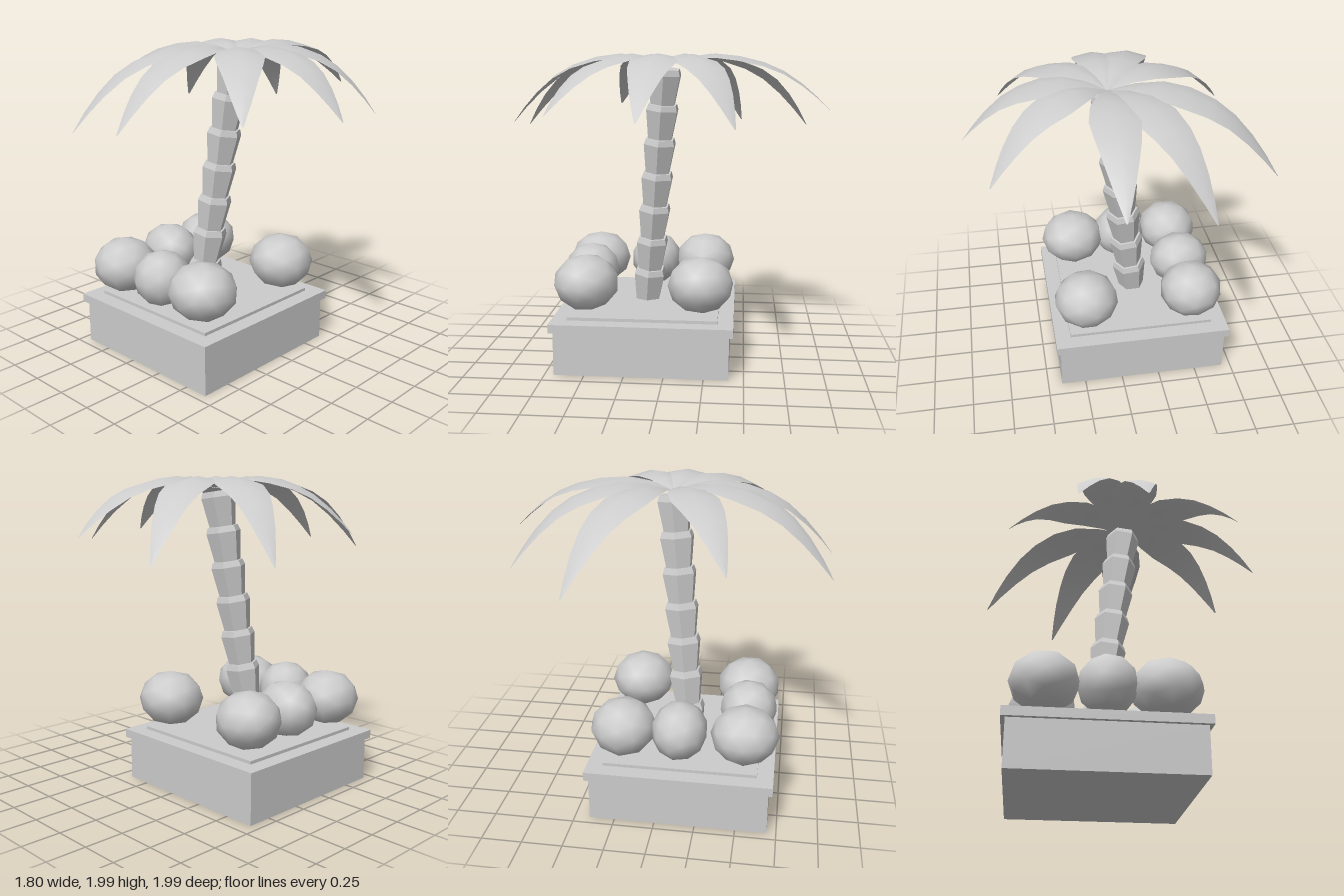
import * as THREE from 'three';

const grey = new THREE.MeshStandardMaterial({ color: 0xcccccc });
grey.name = 'grey';
const facetedGrey = grey.clone();
facetedGrey.flatShading = true;
const leafGrey = grey.clone();
leafGrey.side = THREE.DoubleSide;

function add(parent, name, geometry, material) {
  const mesh = new THREE.Mesh(geometry, material);
  mesh.name = name;
  parent.add(mesh);
  return mesh;
}

// Leaf stations: distance along, half width, height over the crown, share of the tip's drop
const STATIONS = [
  [0, 0.02, -0.07, 0], [0.15, 0.07, -0.02, 0], [0.3, 0.125, 0, 0], [0.45, 0.145, 0, 0.045],
  [0.6, 0.125, 0, 0.155], [0.72, 0.098, 0, 0.31], [0.83, 0.068, 0, 0.53], [0.92, 0.037, 0, 0.76], [1, 0.004, 0, 1],
];

// Arched leaf from the crown to a tip, three points across, edges drooping
function leafGeometry(crown, tip) {
  const dx = tip[0] - crown.x, dz = tip[2] - crown.z, length = Math.hypot(dx, dz);
  const positions = [], index = [];
  STATIONS.forEach(([t, half, lift, drop], i) => {
    const y = crown.y + lift - drop * (crown.y - tip[1]);
    for (const side of [-1, 0, 1]) {
      positions.push(
        crown.x + dx * t - (dz / length) * half * side,
        y - Math.abs(side) * half * 0.2,
        crown.z + dz * t + (dx / length) * half * side,
      );
    }
    if (i === 0) return;
    for (const k of [0, 1]) {
      const a = (i - 1) * 3 + k, b = a + 3;
      index.push(a, a + 1, b, a + 1, b + 1, b);
    }
  });
  const geometry = new THREE.BufferGeometry();
  geometry.setAttribute('position', new THREE.Float32BufferAttribute(positions, 3));
  geometry.setIndex(index);
  geometry.computeVertexNormals();
  return geometry;
}

export function createModel() {
  const model = new THREE.Group();
  model.name = 'palmInPlanter';

  // Square planter: body, rim and soil slab
  const planter = new THREE.Group();
  planter.name = 'planter';
  model.add(planter);
  for (const [name, size, bottom, top] of [
    ['planterBody', 1.1, 0, 0.28], ['planterRim', 1.15, 0.28, 0.335], ['soil', 0.95, 0.335, 0.355],
  ]) {
    add(planter, name, new THREE.BoxGeometry(size, top - bottom, size), facetedGrey)
      .position.set(-0.142, (bottom + top) / 2, 0.143);
  }

  // Leaning trunk of six-sided flared segments
  const trunk = new THREE.Group();
  trunk.name = 'trunk';
  model.add(trunk);
  const profile = [[0, 0], [0.086, 0], [0.113, 0.185], [0.1, 0.222], [0, 0.222]]
    .map(([r, y]) => new THREE.Vector2(r, y));
  for (let i = 0; i < 7; i++) {
    const segment = add(trunk, 'trunkSegment', new THREE.LatheGeometry(profile, 6, Math.PI / 2), facetedGrey);
    segment.position.set(-0.16 + 0.0255 * i, 0.352 + 0.221 * i, 0.155 - 0.0195 * i);
    segment.rotation.set(-0.088, 0, -0.115);
  }

  // Ring of nine drooping leaves
  const leaves = new THREE.Group();
  leaves.name = 'leaves';
  model.add(leaves);
  const crown = new THREE.Vector3(0.03, 1.99, 0.01);
  for (const tip of [
    [0.09, 1.65, -1], [0.76, 1.58, -0.43], [0.9, 1.62, 0.1], [0.66, 1.64, 0.65], [0.05, 1.56, 0.99],
    [-0.35, 1.52, 0.99], [-0.75, 1.64, 0.41], [-0.9, 1.52, -0.46], [-0.42, 1.52, -0.9],
  ]) add(leaves, 'leaf', leafGeometry(crown, tip), leafGrey);

  // Faceted round bushes hovering along two edges and one corner
  const bushes = new THREE.Group();
  bushes.name = 'bushes';
  model.add(bushes);
  [
    [-0.49, 0.53, 0.205, 0.21], [-0.13, 0.53, 0.18, 0.185], [0.21, 0.51, 0.22, 0.21],
    [-0.49, 0.13, 0.205, 0.175], [-0.49, -0.22, 0.205, 0.205], [0.21, -0.22, 0.21, 0.21],
  ].forEach(([x, z, rx, rz], i) => {
    const ball = new THREE.IcosahedronGeometry(1, 1);
    ball.rotateY(i * 1.3);
    ball.scale(rx, 0.18, rz);
    add(bushes, 'bush', ball, grey).position.set(x, 0.555, z);
  });
  return model;
}
